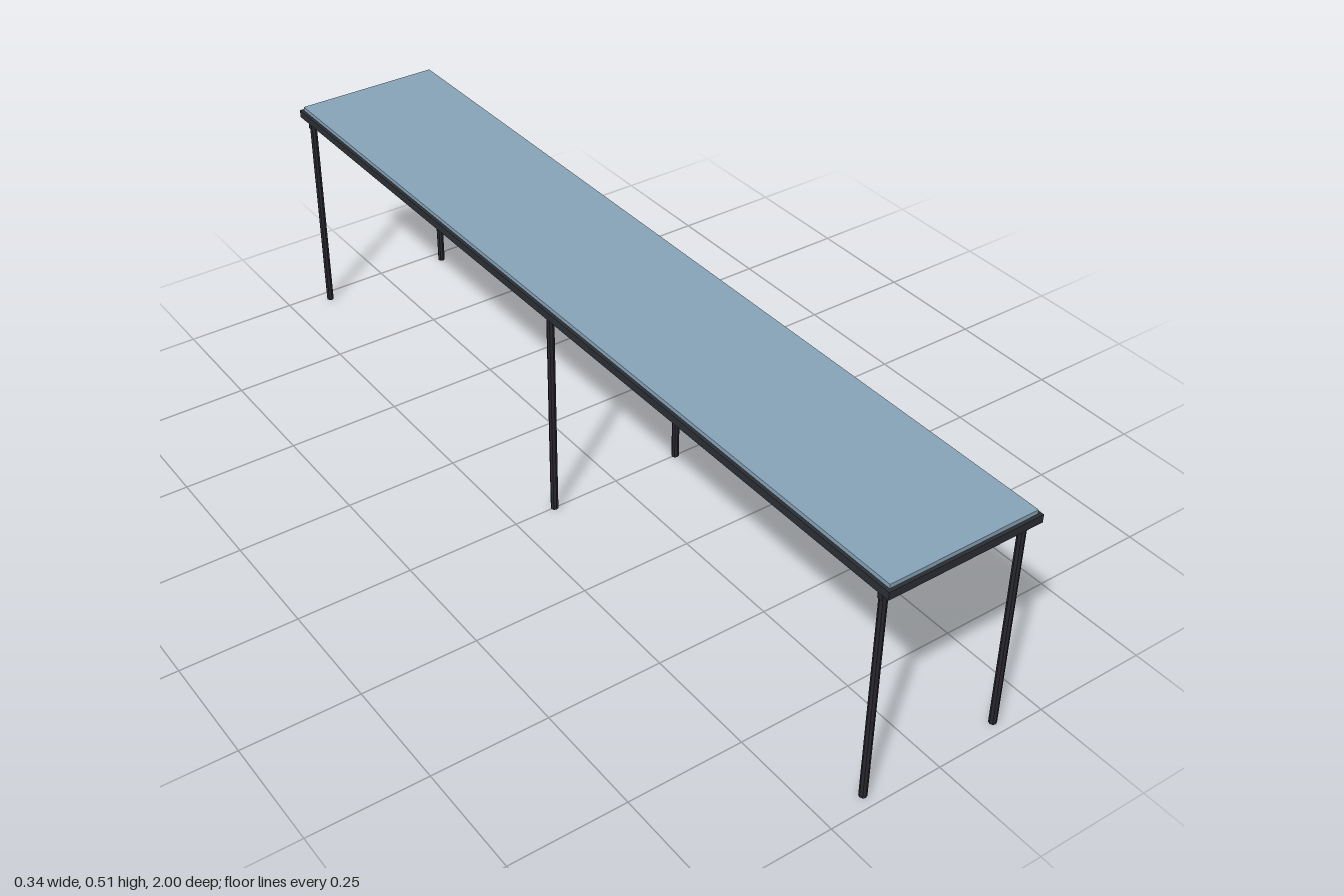
import * as THREE from 'three';

export function createModel() {
  const table = new THREE.Group();
  table.name = 'longTable';

  const frameMat = new THREE.MeshStandardMaterial({ name: 'charcoal frame', color: 0x2b2e33 });
  const legMat = new THREE.MeshStandardMaterial({ name: 'dark leg metal', color: 0x28272e, flatShading: true });
  const topMat = new THREE.MeshStandardMaterial({ name: 'blue grey glass', color: 0x87a4b7 });

  const add = (name, geometry, material, x, y, z) => {
    const mesh = new THREE.Mesh(geometry, material);
    mesh.name = name;
    mesh.position.set(x, y, z);
    table.add(mesh);
  };

  // Table top: dark slab with a slightly smaller glass sheet on it
  add('frame', new THREE.BoxGeometry(0.342, 0.017, 2), frameMat, 0, 0.4885, 0);
  add('glassTop', new THREE.BoxGeometry(0.328, 0.009, 1.986), topMat, 0, 0.5015, 0);

  // Three pairs of slim eight-sided legs
  const legHeight = 0.48;
  const legGeo = new THREE.CylinderGeometry(0.008, 0.008, legHeight, 8);
  for (const z of [-0.972, 0, 0.972]) {
    for (const x of [-0.155, 0.155]) add('leg', legGeo, legMat, x, legHeight / 2, z);
  }

  // Crossbars under both ends
  const barGeo = new THREE.BoxGeometry(0.326, 0.021, 0.012);
  for (const z of [-0.972, 0.972]) add('endCrossbar', barGeo, legMat, 0, 0.4695, z);

  return table;
}
